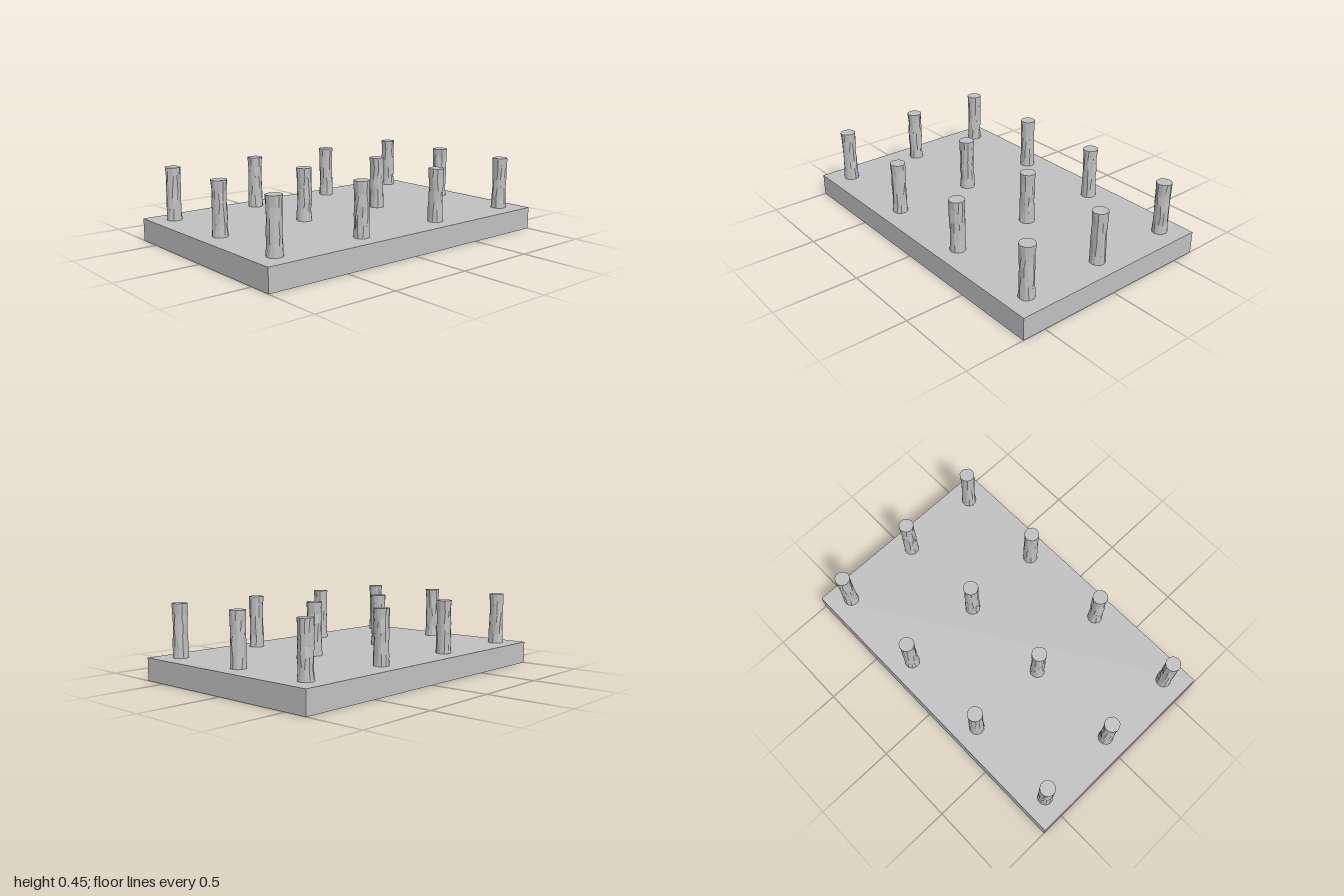
import * as THREE from 'three';

const BASE_H = 0.135, POST_TOP = 0.45, POST_R = 0.046, SIDES = 11;

// Small seeded random generator
function seeded(seed) {
  let s = seed * 7919 + 17;
  return () => {
    s = (s * 16807) % 2147483647;
    return s / 2147483647;
  };
}

// Rough-hewn post: a faceted cylinder whose middle rings are chipped inward
function postGeometry(seed) {
  const rand = seeded(seed);
  for (let i = 0; i < 5; i++) rand();
  const height = POST_TOP - BASE_H, rows = 5;
  const chips = Array.from({ length: rows + 1 }, (_, row) =>
    Array.from({ length: SIDES }, () => {
      const end = row === 0 || row === rows;
      return {
        radius: end ? 1 : 0.86 + 0.14 * rand(),
        turn: end ? 0 : (rand() - 0.5) * 0.3,
        lift: end ? 0 : (rand() - 0.5) * 0.035,
      };
    }));
  const geo = new THREE.CylinderGeometry(POST_R, POST_R, height, SIDES, rows);
  const pos = geo.attributes.position;
  for (let i = 0; i < pos.count; i++) {
    const x = pos.getX(i), y = pos.getY(i), z = pos.getZ(i);
    if (Math.hypot(x, z) < 1e-4) continue;
    const angle = Math.atan2(x, z);
    const side = (Math.round(angle / (2 * Math.PI) * SIDES) + SIDES) % SIDES;
    const chip = chips[Math.round((y / height + 0.5) * rows)][side];
    const r = POST_R * chip.radius, a = angle + chip.turn;
    pos.setXYZ(i, Math.sin(a) * r, y + chip.lift, Math.cos(a) * r);
  }
  // Separate the faces for crisp facets
  const flat = geo.toNonIndexed();
  flat.computeVertexNormals();
  return flat;
}

export function createModel() {
  const model = new THREE.Group();
  model.name = 'pegBoard';
  const grey = new THREE.MeshStandardMaterial({ color: 0xc0c0c0 });
  grey.name = 'stone grey';

  // Flat slab
  const base = new THREE.Mesh(new THREE.BoxGeometry(2, BASE_H, 1.29), grey);
  base.name = 'base';
  base.position.y = BASE_H / 2;
  model.add(base);

  // Four by three grid of posts
  const posts = new THREE.Group();
  posts.name = 'posts';
  for (let col = 0; col < 4; col++) {
    for (let row = 0; row < 3; row++) {
      const post = new THREE.Mesh(postGeometry(1 + col * 3 + row), grey);
      post.name = `post${col + 1}_${row + 1}`;
      post.position.set((col - 1.5) * 0.577, (BASE_H + POST_TOP) / 2, (row - 1) * 0.51);
      posts.add(post);
    }
  }
  model.add(posts);
  return model;
}
